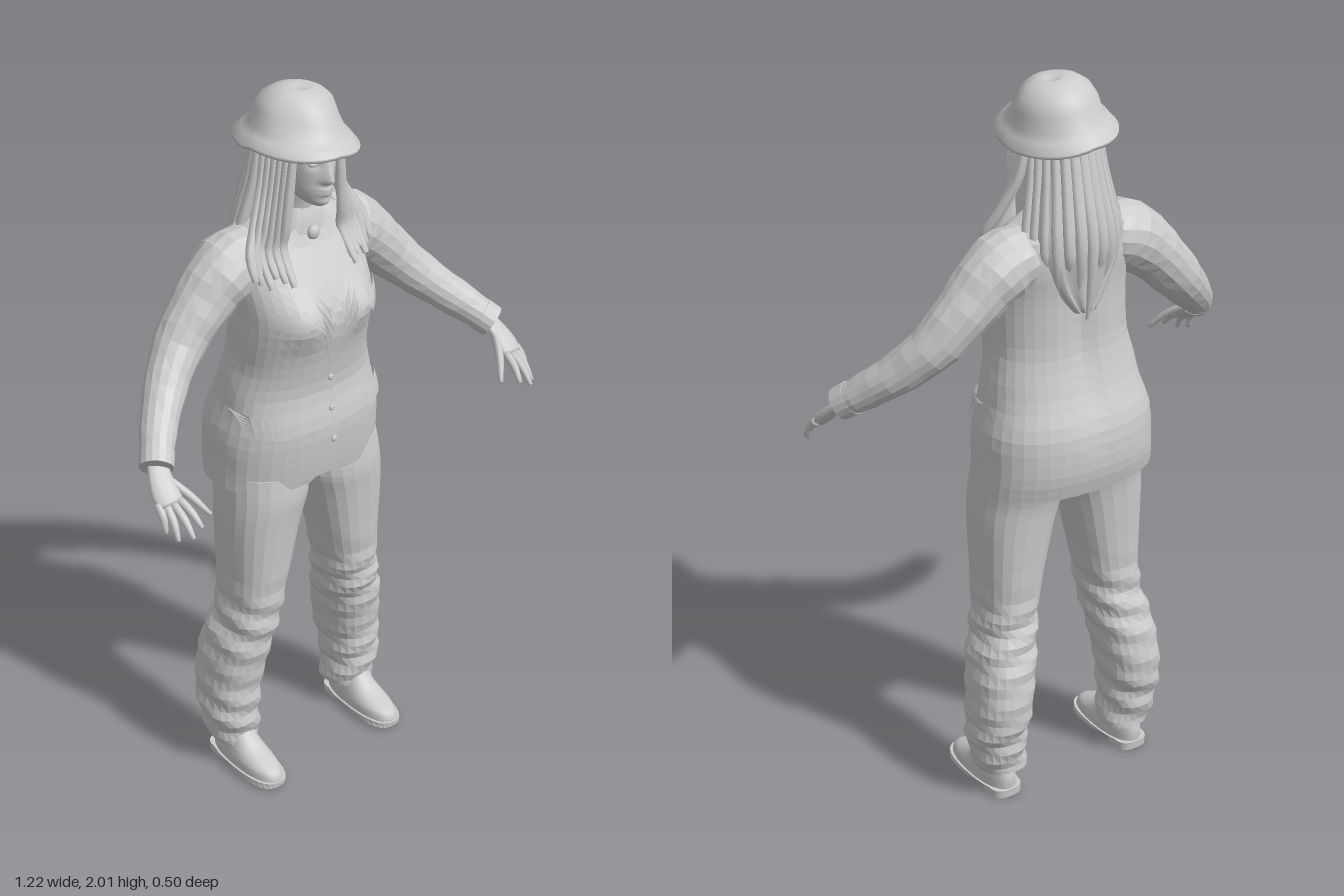
import * as THREE from 'three';

const smoothMat = new THREE.MeshStandardMaterial({ color: 0xcccccc, side: THREE.DoubleSide });
const flatMat = new THREE.MeshStandardMaterial({ color: 0xcccccc, side: THREE.DoubleSide, flatShading: true });
const V = (x, y, z) => new THREE.Vector3(x, y, z);
const bump = (a, s) => Math.exp(-(a * a) / (s * s));

// Joins rings of points into a skin, with end caps unless open
function skin(name, rings, { flat = false, open = false } = {}) {
  const n = rings[0].length, idx = [], pts = rings.flat();
  for (let i = 0; i < rings.length - 1; i++) {
    for (let j = 0; j < n; j++) {
      const a = i * n + j, b = i * n + (j + 1) % n;
      idx.push(a, a + n, b + n, a, b + n, b);
    }
  }
  if (!open) {
    [0, rings.length - 1].forEach((r, top) => {
      const c = pts.length;
      pts.push(rings[r].reduce((s, p) => s.add(p), V(0, 0, 0)).divideScalar(n));
      for (let j = 0; j < n; j++) {
        const a = r * n + j, b = r * n + (j + 1) % n;
        idx.push(c, ...(top ? [b, a] : [a, b]));
      }
    });
  }
  let g = new THREE.BufferGeometry().setFromPoints(pts);
  g.setIndex(idx);
  if (flat) g = g.toNonIndexed();
  g.computeVertexNormals();
  const m = new THREE.Mesh(g, flat ? flatMat : smoothMat);
  m.name = name;
  return m;
}

// Smoothly refines a list of number rows
function refine(rows, sub) {
  if (sub === 1) return rows;
  const out = [], at = i => rows[Math.max(0, Math.min(rows.length - 1, i))];
  for (let i = 0; i < rows.length - 1; i++) {
    for (let k = 0; k < sub; k++) {
      const t = k / sub;
      out.push(rows[i].map((p1, c) => {
        const p0 = at(i - 1)[c], p2 = at(i + 1)[c], p3 = at(i + 2)[c];
        return p1 + 0.5 * t * (p2 - p0 + t * (2 * p0 - 5 * p1 + 4 * p2 - p3 + t * (3 * (p1 - p2) + p3 - p0)));
      }));
    }
  }
  return [...out, rows[rows.length - 1]];
}

// Upright loft; each section is [y, centreX, halfWidth, frontZ, backZ]
function loft(name, rows, { segs = 28, sub = 3, n = 2, warp, ...opts } = {}) {
  const pw = c => Math.sign(c) * Math.abs(c) ** (2 / n);
  const rings = refine(rows, sub).map(([y, cx, rx, f, b]) => Array.from({ length: segs }, (_, j) => {
    const a = j / segs * Math.PI * 2;
    const p = V(cx + rx * pw(Math.cos(a)), y, (f + b) / 2 + (f - b) / 2 * pw(Math.sin(a)));
    if (warp) warp(p, a);
    return p;
  }));
  return skin(name, rings, opts);
}

// Tapered limb; each row is [x, y, z, radius], flattened across the ref direction
function limb(name, rows, { segs = 10, sub = 3, flatten = 1, ref = V(1, 0, 0), warp, ...opts } = {}) {
  const pts = refine(rows, sub), pos = pts.map(p => V(p[0], p[1], p[2]));
  const rings = pts.map((p, i) => {
    const t = pos[Math.min(i + 1, pos.length - 1)].clone().sub(pos[Math.max(i - 1, 0)]).normalize();
    const u = ref.clone().addScaledVector(t, -ref.dot(t)).normalize(), w = u.clone().cross(t);
    return Array.from({ length: segs }, (_, j) => {
      const a = j / segs * Math.PI * 2, r = p[3] * (warp ? warp(i, a) : 1);
      return pos[i].clone().addScaledVector(u, r * Math.cos(a)).addScaledVector(w, r * flatten * Math.sin(a));
    });
  });
  return skin(name, rings, opts);
}

// Jacket body sections and its front surface
const N = 2.4;
const body = [[0.93, 0, 0.25, 0.085, -0.235], [1.0, 0, 0.246, 0.095, -0.25], [1.1, 0, 0.238, 0.1, -0.245],
  [1.2, 0, 0.212, 0.082, -0.21], [1.3, 0, 0.194, 0.094, -0.185], [1.4, 0, 0.19, 0.112, -0.18],
  [1.47, 0, 0.19, 0.1, -0.18], [1.55, 0, 0.19, 0.055, -0.185], [1.62, 0, 0.175, 0.01, -0.175],
  [1.66, 0, 0.1, -0.002, -0.15], [1.685, 0, 0.06, -0.01, -0.125]];
const fine = refine(body, 3);
const bust = (x, y) => 0.022 * bump(Math.abs(x) - 0.095, 0.06) * bump(y - 1.425, 0.065);
function frontZ(x, y) {
  let i = 0;
  while (i < fine.length - 2 && fine[i + 1][0] < y) i++;
  const k = THREE.MathUtils.clamp((y - fine[i][0]) / (fine[i + 1][0] - fine[i][0]), 0, 1);
  const [, , rx, f, b] = fine[i].map((v, c) => v + (fine[i + 1][c] - v) * k);
  return (f + b) / 2 + (f - b) / 2 * Math.max(0, 1 - Math.abs(x / rx) ** N) ** (1 / N) + bust(x, y);
}

// Four-cornered cloth piece laid on the jacket front
function patch(name, corners, lift, s = 1) {
  const g = new THREE.PlaneGeometry(1, 1, 6, 8), p = g.attributes.position;
  const [a, b, c, d] = corners;
  for (let i = 0; i < p.count; i++) {
    const u = p.getX(i) + 0.5, v = 0.5 - p.getY(i);
    const mix = k => (a[k] * (1 - u) + b[k] * u) * (1 - v) + (d[k] * (1 - u) + c[k] * u) * v;
    p.setXYZ(i, s * mix(0), mix(1), frontZ(mix(0), mix(1)) + lift);
  }
  g.computeVertexNormals();
  const m = new THREE.Mesh(g, flatMat);
  m.name = name;
  return m;
}

function ball(name, x, y, z, r, sx = 1, sy = 1, sz = 1) {
  const m = new THREE.Mesh(new THREE.SphereGeometry(r, 12, 8), smoothMat);
  m.name = name;
  m.position.set(x, y, z);
  m.scale.set(sx, sy, sz);
  return m;
}

export function createModel() {
  const model = new THREE.Group();
  model.name = 'standingFigure';
  const add = (...m) => model.add(...m);

  // Jacket, with parted front hem, spine groove and soft folds
  add(loft('jacket', body, { n: N, segs: 36, flat: true, open: true, warp: p => {
    if (p.z > 0) p.z += bust(p.x, p.y);
    else if (p.z < -0.1) p.z += 0.018 * bump(p.x, 0.04) * bump(p.y - 1.33, 0.2);
    if (p.y < 0.94 && p.z > 0) p.y += 0.04 * bump(p.x, 0.04);
    p.x *= 1 + 0.012 * Math.sin(p.y * 38 + p.z * 14) * bump(p.y - 1.2, 0.2);
  } }));
  add(loft('collar', [[1.63, 0, 0.1, 0.02, -0.15], [1.665, 0, 0.075, 0.012, -0.125], [1.695, 0, 0.058, 0, -0.11]],
    { segs: 24, flat: true, open: true }));
  add(patch('shirtFront', [[-0.045, 1.645], [0.045, 1.645], [0.004, 1.28], [-0.004, 1.28]], 0.005));
  add(patch('tie', [[-0.011, 1.625], [0.011, 1.625], [0.014, 1.34], [-0.014, 1.34]], 0.013));
  add(ball('tieKnot', 0, 1.63, 0.022, 0.018, 1, 1.1, 0.7));
  add(patch('frontEdge', [[-0.006, 1.27], [0.012, 1.27], [0.016, 0.98], [0.004, 0.98]], 0.006));
  for (const y of [1.24, 1.15, 1.06]) add(ball('button', 0, y, frontZ(0, y) + 0.008, 0.009, 1, 1, 0.5));

  // Head with brow, nose, lips and eye sockets shaped by rule
  add(loft('neck', [[1.6, 0, 0.06, 0.0, -0.12], [1.68, 0, 0.05, 0.0, -0.11], [1.77, 0, 0.05, 0.02, -0.11]], { segs: 20 }));
  add(loft('head', [[1.722, 0, 0.02, 0.06, 0.01], [1.735, 0, 0.038, 0.07, -0.03], [1.765, 0, 0.056, 0.074, -0.08],
    [1.8, 0, 0.066, 0.076, -0.12], [1.84, 0, 0.072, 0.077, -0.14], [1.88, 0, 0.074, 0.076, -0.14],
    [1.92, 0, 0.06, 0.05, -0.12], [1.95, 0, 0.02, 0, -0.07]], { segs: 56, sub: 6, warp: p => {
    if (p.z < 0) return;
    const ax = Math.abs(p.x), y = p.y;
    const ridge = y < 1.798 ? bump(y - 1.798, 0.01) : Math.max(0, 1 - (y - 1.798) / 0.065);
    p.z += 0.027 * ridge * bump(p.x, 0.011 + 0.004 * ridge);
    p.z -= 0.009 * bump(ax - 0.03, 0.015) * bump(y - 1.843, 0.012);
    p.z += 0.009 * bump(p.x, 0.02) * (bump(y - 1.771, 0.005) + bump(y - 1.759, 0.005));
    p.z += 0.004 * bump(p.x, 0.018) * bump(y - 1.732, 0.012);
  } }));

  // Hat with dented crown and a tilted, curved brim
  const hat = loft('hat', [[0.005, 0, 0.1, 0.11, -0.11], [-0.008, 0, 0.145, 0.172, -0.172], [0.002, 0, 0.147, 0.174, -0.174],
    [0.018, 0, 0.13, 0.148, -0.148], [0.03, 0, 0.115, 0.128, -0.13], [0.065, 0, 0.108, 0.112, -0.12],
    [0.095, 0, 0.093, 0.088, -0.1], [0.115, 0, 0.068, 0.06, -0.072], [0.127, 0, 0.04, 0.03, -0.04],
    [0.12, 0, 0.018, 0.015, -0.025]], { segs: 40, sub: 1, warp: p => {
    const edge = Math.max(0, Math.hypot(p.x, p.z) - 0.11);
    p.y += 0.12 * edge * Math.sign(p.z) - 2 * Math.abs(p.x) * edge;
    if (p.y > 0.06) p.x *= 1 - 0.25 * THREE.MathUtils.smoothstep(p.z, 0, 0.1);
  } });
  hat.position.set(0, 1.876, -0.045);
  hat.rotation.z = -0.12;
  add(hat);

  // Long hair: a mass behind the head covered with locks
  add(loft('backHair', [[1.42, 0, 0.03, -0.17, -0.19], [1.5, 0, 0.09, -0.12, -0.2], [1.6, 0, 0.125, -0.06, -0.212],
    [1.7, 0, 0.112, -0.05, -0.195], [1.8, 0, 0.093, -0.03, -0.175], [1.9, 0, 0.085, -0.01, -0.16]],
  { segs: 44, sub: 4, warp: (p, a) => { p.z += 0.005 * Math.sin(a * 11); p.x *= 1 + 0.03 * Math.sin(a * 11); } }));
  for (let i = 0; i < 13; i++) {
    const a = Math.PI * (1 + (i + 0.5) / 13), c = Math.cos(a), s = Math.sin(a), end = 1.4 + 0.1 * Math.abs(c) + 0.04 * (i % 3);
    add(limb('backLock', [[c * 0.088, 1.89, -0.07 + s * 0.08, 0.014], [c * 0.1, 1.76, -0.08 + s * 0.1, 0.018],
      [c * 0.13, 1.6, -0.1 + s * 0.115, 0.018], [c * 0.1, end, -0.1 + s * 0.09, 0.005]], { segs: 6, flatten: 0.7 }));
  }

  // Paired parts
  for (const s of [1, -1]) {
    const m = rows => rows.map(([x, ...r]) => [s * x, ...r]);
    add(ball('eye', s * 0.03, 1.843, 0.056, 0.011, 1.2, 0.75, 1));
    add(limb('eyebrow', m([[0.014, 1.86, 0.077, 0.002], [0.032, 1.864, 0.07, 0.003], [0.048, 1.858, 0.058, 0.001]]),
      { segs: 6, ref: V(0, 1, 0) }));

    // Locks falling over the shoulders
    for (let i = 0; i < 6; i++) {
      const k = i / 5, x = 0.095 + 0.085 * k, low = 1.53 + 0.012 * (i % 3);
      const z = Math.max(frontZ(x, 1.62), -0.02) + 0.018;
      add(limb('frontLock', m([[0.072 + 0.02 * k, 1.885, 0.035 - 0.09 * k, 0.012],
        [0.082 + 0.025 * k, 1.77, 0.03 - 0.08 * k, 0.016], [0.09 + 0.06 * k, 1.67, 0.025 - 0.05 * k, 0.017],
        [x, 1.61, z, 0.016], [x + 0.005, low, Math.max(frontZ(x, low), 0.01) + 0.014, 0.01]]), { segs: 6, flatten: 0.7 }));
    }

    // Lapels, chest flaps and hip pockets
    add(patch('lapel', [[0.045, 1.65], [0.085, 1.63], [0.085, 1.47], [0.004, 1.27]], 0.011, s));
    add(patch('lapelPoint', [[0.075, 1.56], [0.1, 1.53], [0.09, 1.45], [0.05, 1.4]], 0.013, s));
    add(patch('chestFlap', [[0.085, 1.45], [0.165, 1.475], [0.16, 1.435], [0.115, 1.405]], 0.012, s));
    add(patch('pocketFlap', [[0.13, 1.155], [0.222, 1.165], [0.222, 1.11], [0.13, 1.1]], 0.014, s));

    // Sleeve, cuff and hand
    add(limb('sleeve', m([[0.12, 1.57, -0.085, 0.08], [0.19, 1.55, -0.085, 0.09], [0.27, 1.485, -0.085, 0.078],
      [0.36, 1.39, -0.072, 0.066], [0.44, 1.31, -0.025, 0.055], [0.51, 1.245, 0.04, 0.047], [0.55, 1.205, 0.088, 0.041]]),
    { segs: 16, ref: V(0, 0, 1), flat: true, warp: (i, a) => 1 + 0.025 * Math.sin(i * 2.1 + a * 2) }));
    add(limb('cuff', m([[0.535, 1.22, 0.07, 0.045], [0.557, 1.198, 0.096, 0.044]]), { segs: 16, sub: 1, ref: V(0, 0, 1), flat: true }));
    const across = V(s, 0, -0.3);
    add(limb('palm', m([[0.547, 1.208, 0.085, 0.026], [0.56, 1.18, 0.115, 0.031], [0.566, 1.15, 0.145, 0.038],
      [0.567, 1.128, 0.168, 0.034]]), { flatten: 0.45, ref: across }));
    const fingers = [[0.595, 1.135, 0.152, 0.602, 1.072, 0.19], [0.579, 1.132, 0.163, 0.59, 1.062, 0.225],
      [0.562, 1.132, 0.17, 0.562, 1.07, 0.25], [0.544, 1.137, 0.17, 0.53, 1.085, 0.242], [0.545, 1.175, 0.125, 0.485, 1.092, 0.216]];
    fingers.forEach(([x, y, z, u, v, w], i) => add(limb(i < 4 ? 'finger' : 'thumb',
      m([[x, y, z, 0.011], [(x + u) / 2, (y + v) / 2 + 0.005, (z + w) / 2 + 0.006, 0.0105], [u, v, w, 0.006]]), { segs: 8, ref: across })));

    // Trouser leg with cloth folds at knee and ankle
    const leg = [[0, 0.235, 0.97, 0.07, -0.19], [0.004, 0.243, 0.89, 0.076, -0.165], [0.03, 0.248, 0.8, 0.068, -0.155],
      [0.075, 0.243, 0.6, 0.052, -0.145], [0.09, 0.252, 0.5, 0.043, -0.15], [0.108, 0.278, 0.4, 0.028, -0.175],
      [0.127, 0.291, 0.28, 0.008, -0.187], [0.14, 0.292, 0.18, 0.002, -0.168], [0.135, 0.272, 0.08, -0.01, -0.15]];
    add(loft('trouserLeg', leg.map(([a, b, y, f, k]) => [y, s * (a + b) / 2, (b - a) / 2, f, k]).reverse(),
      { segs: 22, sub: 4, n: 2.4, flat: true, warp: (p, a) => {
        const fold = 0.006 * (bump(p.y - 0.48, 0.12) + bump(p.y - 0.17, 0.12));
        const w = fold * Math.sin(p.y * 75 + a * 2 * s);
        p.x += w * Math.cos(a);
        p.z += w * Math.sin(a);
      } }));

    // Shoe with welt and heel
    const x = s * 0.208;
    add(loft('sole', [[0.008, x, 0.055, 0.13, -0.07], [0.024, x, 0.057, 0.132, -0.145]], { sub: 1, n: 2.5, flat: true }));
    add(loft('heel', [[0, x, 0.045, -0.055, -0.145], [0.024, x, 0.046, -0.05, -0.147]], { sub: 1, n: 3, flat: true }));
    add(loft('shoe', [[0.02, x, 0.052, 0.126, -0.14], [0.045, x, 0.05, 0.115, -0.142], [0.062, x, 0.046, 0.075, -0.14],
      [0.085, x, 0.043, 0.02, -0.135], [0.13, x, 0.042, -0.02, -0.13]], { n: 2.3 }));
  }
  return model;
}
